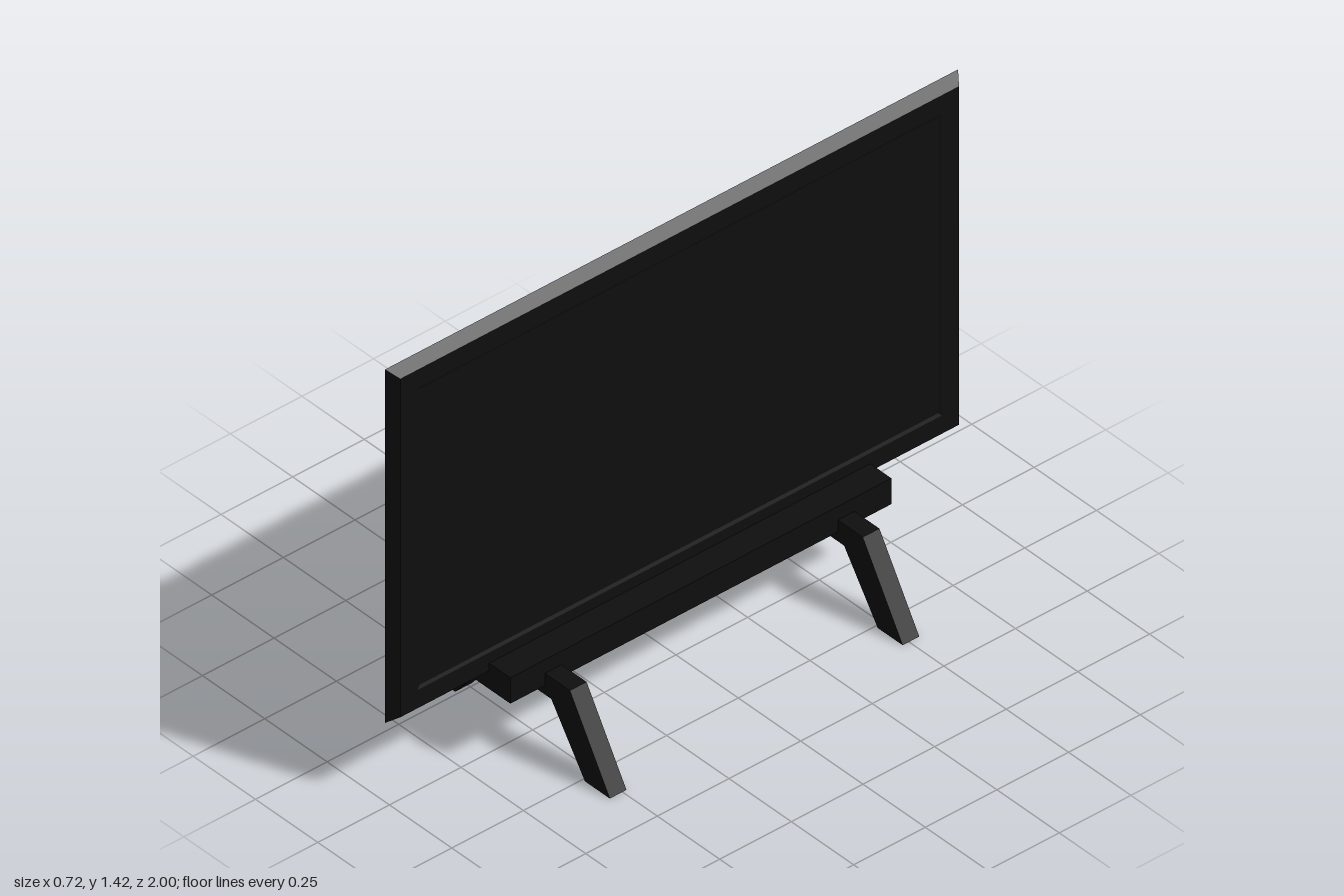
import * as THREE from 'three';

const black = new THREE.MeshStandardMaterial({ color: 0x0e0e0e });
black.name = 'matte black';

function addMesh(group, geometry, name) {
  const mesh = new THREE.Mesh(geometry, black);
  mesh.name = name;
  group.add(mesh);
  return mesh;
}

// Panel shell: rectangular rings, each [x, inset], joined from the rear face to the screen
function panelGeometry() {
  const rings = [[-0.018, 0], [0.015, 0.025], [0.015, 0.085], [0.011, 0.095]];
  const corners = ([x, inset]) => {
    const z = 1 - inset, bottom = 0.26 + inset, top = 1.425 - inset;
    return [[x, bottom, z], [x, bottom, -z], [x, top, -z], [x, top, z]];
  };
  const positions = [];
  const quad = (a, b, c, d) => positions.push(...a, ...b, ...c, ...a, ...c, ...d);
  for (let r = 0; r < rings.length - 1; r++) {
    const a = corners(rings[r]), b = corners(rings[r + 1]);
    for (let i = 0; i < 4; i++) {
      const j = (i + 1) % 4;
      quad(a[i], a[j], b[j], b[i]);
    }
  }
  quad(...corners(rings[0]).reverse());
  quad(...corners(rings[rings.length - 1]));
  const geometry = new THREE.BufferGeometry();
  geometry.setAttribute('position', new THREE.Float32BufferAttribute(positions, 3));
  geometry.computeVertexNormals();
  return geometry;
}

export function createModel() {
  const model = new THREE.Group();
  model.name = 'television';

  addMesh(model, panelGeometry(), 'screenPanel');

  // Beam that holds the lower edge of the panel
  const beam = addMesh(model, new THREE.BoxGeometry(0.2, 0.085, 1.33), 'baseBeam');
  beam.position.y = 0.2675;

  // Splayed legs with a crossbar under the beam
  const outline = [
    [-0.36, 0], [-0.26, 0], [-0.1, 0.195], [0.125, 0.195],
    [0.26, 0], [0.36, 0], [0.2, 0.265], [-0.2, 0.265],
  ].map(([x, y]) => new THREE.Vector2(x, y));
  const legs = new THREE.ExtrudeGeometry(new THREE.Shape(outline), { depth: 0.058, bevelEnabled: false });
  addMesh(model, legs, 'frontLegs').position.z = 0.486;
  addMesh(model, legs, 'rearLegs').position.z = -0.536;

  return model;
}
